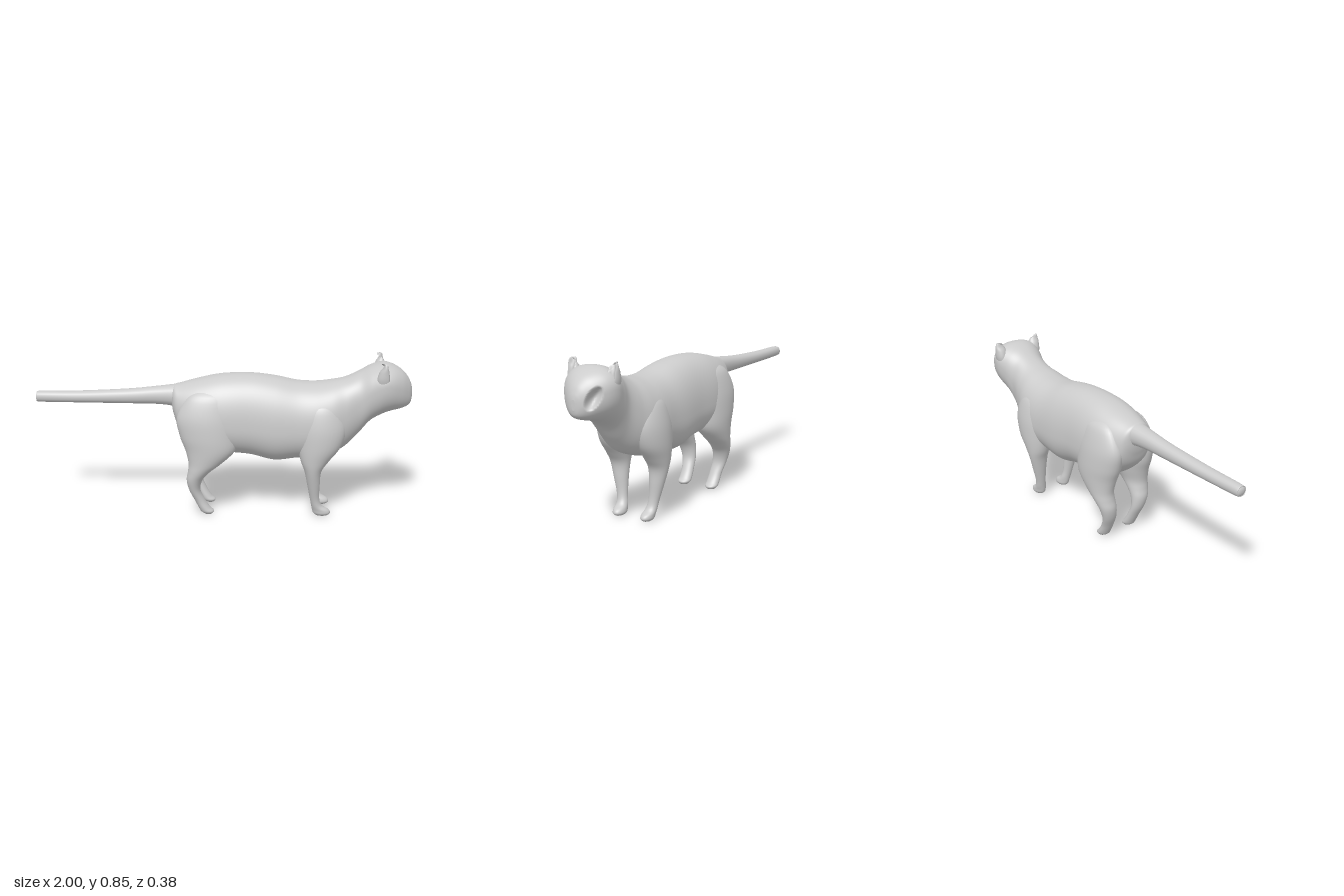
import * as THREE from 'three';

const material = new THREE.MeshStandardMaterial({ color: 0xcccccc, side: THREE.DoubleSide });

// Smooth the rows of a section list with Catmull-Rom interpolation
function refine(rows, steps) {
  const out = [];
  const at = (i) => rows[Math.min(Math.max(i, 0), rows.length - 1)];
  for (let i = 0; i < rows.length - 1; i++) {
    const [a, b, c, d] = [at(i - 1), at(i), at(i + 1), at(i + 2)];
    for (let s = 0; s < steps; s++) {
      const t = s / steps;
      out.push(b.map((v, k) => v + 0.5 * t * (c[k] - a[k]
        + t * (2 * a[k] - 5 * v + 4 * c[k] - d[k] + t * (3 * (v - c[k]) + d[k] - a[k])))));
    }
  }
  out.push(rows[rows.length - 1]);
  return out;
}

// Skin closed rings, one per section; point(row, angle) gives [x, y, z]
function loft(name, rows, point, segments = 32, steps = 5, warp = null) {
  const rings = refine(rows, steps).map((row) => {
    const ring = [];
    for (let j = 0; j < segments; j++) {
      const v = new THREE.Vector3(...point(row, (j / segments) * Math.PI * 2));
      if (warp) warp(v);
      ring.push(v);
    }
    return ring;
  });
  const vertices = rings.flat();
  const middle = (ring) => ring.reduce((s, v) => s.add(v), new THREE.Vector3()).divideScalar(segments);
  const start = vertices.push(middle(rings[0])) - 1;
  const end = vertices.push(middle(rings[rings.length - 1])) - 1;
  const last = (rings.length - 1) * segments;
  let index = [];
  for (let j = 0; j < segments; j++) {
    const k = (j + 1) % segments;
    for (let o = 0; o < last; o += segments) {
      index.push(o + j, o + k, o + segments + j, o + k, o + segments + k, o + segments + j);
    }
    index.push(start, k, j, end, last + j, last + k);
  }
  // Turn the faces outward if the enclosed volume comes out negative
  let volume = 0;
  const cross = new THREE.Vector3();
  for (let i = 0; i < index.length; i += 3) {
    volume += vertices[index[i]].dot(cross.crossVectors(vertices[index[i + 1]], vertices[index[i + 2]]));
  }
  if (volume < 0) index.reverse();
  const geometry = new THREE.BufferGeometry().setFromPoints(vertices);
  geometry.setIndex(index);
  geometry.computeVertexNormals();
  const mesh = new THREE.Mesh(geometry, material);
  mesh.name = name;
  return mesh;
}

const soft = (v, e) => Math.sign(v) * Math.abs(v) ** e;

// Section across the spine: [x, bottom, top, half width, height fraction of widest point]
function spinePoint([x, y0, y1, w, m], a) {
  const mid = y0 + (y1 - y0) * m;
  const s = soft(Math.sin(a), 0.9);
  return [x, mid + s * (s > 0 ? y1 - mid : mid - y0), w * soft(Math.cos(a), 0.88)];
}

// Section across a leg: [y, back, front, inner z, outer z]
const legPoint = (side) => ([y, x0, x1, z0, z1], a) => [
  (x0 + x1) / 2 + ((x1 - x0) / 2) * Math.cos(a), y,
  side * ((z0 + z1) / 2 + ((z1 - z0) / 2) * Math.sin(a)),
];

// Eye socket pressed into one side of the face
function pressEye(v) {
  if (v.x < 0.85 || v.z > 0) return;
  const dy = (v.y - 0.695) / 0.055;
  const dz = (v.z + 0.08 + (v.y - 0.695) * 0.3) / 0.026;
  const d = dy * dy + dz * dz;
  if (d < 1) {
    v.x -= 0.045 * (1 - d);
    v.z += 0.02 * (1 - d);
  }
}

const BODY = [
  [-0.268, 0.59, 0.67, 0.035, 0.5],
  [-0.255, 0.53, 0.695, 0.075, 0.5],
  [-0.22, 0.45, 0.705, 0.11, 0.45],
  [-0.12, 0.37, 0.732, 0.155, 0.42],
  [0, 0.34, 0.756, 0.172, 0.4],
  [0.15, 0.325, 0.762, 0.17, 0.4],
  [0.28, 0.295, 0.748, 0.174, 0.42],
  [0.4, 0.308, 0.724, 0.172, 0.43],
  [0.5, 0.315, 0.72, 0.174, 0.45],
  [0.58, 0.335, 0.73, 0.162, 0.48],
  [0.65, 0.37, 0.746, 0.138, 0.52],
  [0.72, 0.44, 0.78, 0.12, 0.55],
  [0.78, 0.515, 0.812, 0.13, 0.58],
  [0.84, 0.555, 0.828, 0.143, 0.62],
  [0.89, 0.574, 0.82, 0.132, 0.6],
  [0.94, 0.585, 0.793, 0.098, 0.55],
  [0.975, 0.598, 0.755, 0.06, 0.5],
  [0.993, 0.615, 0.718, 0.032, 0.5],
  [1.0, 0.64, 0.69, 0.01, 0.5],
];

const TAIL = [
  [-1, 0.617, 0.63, 0.008, 0.5],
  [-0.993, 0.6, 0.644, 0.024, 0.5],
  [-0.97, 0.593, 0.651, 0.03, 0.5],
  [-0.75, 0.592, 0.655, 0.036, 0.5],
  [-0.5, 0.591, 0.669, 0.041, 0.5],
  [-0.35, 0.59, 0.685, 0.048, 0.5],
  [-0.25, 0.578, 0.697, 0.06, 0.5],
  [-0.18, 0.54, 0.705, 0.075, 0.5],
];

const HIND_LEG = [
  [0.69, -0.11, 0.01, 0.08, 0.11],
  [0.65, -0.18, 0.05, 0.06, 0.15],
  [0.55, -0.235, 0.085, 0.03, 0.18],
  [0.45, -0.222, 0.09, 0.02, 0.19],
  [0.37, -0.192, 0.075, 0.03, 0.189],
  [0.3, -0.175, 0.005, 0.052, 0.181],
  [0.25, -0.178, -0.058, 0.058, 0.172],
  [0.2, -0.186, -0.1, 0.06, 0.158],
  [0.14, -0.174, -0.113, 0.058, 0.14],
  [0.08, -0.146, -0.09, 0.055, 0.126],
  [0.035, -0.124, -0.062, 0.052, 0.124],
  [0.014, -0.112, -0.041, 0.053, 0.122],
  [0, -0.092, -0.048, 0.065, 0.11],
];

const FRONT_LEG = [
  [0.65, 0.48, 0.56, 0.09, 0.125],
  [0.6, 0.43, 0.62, 0.05, 0.163],
  [0.5, 0.4, 0.655, 0.02, 0.187],
  [0.4, 0.405, 0.63, 0.03, 0.19],
  [0.32, 0.42, 0.57, 0.05, 0.181],
  [0.26, 0.442, 0.532, 0.062, 0.17],
  [0.18, 0.459, 0.526, 0.068, 0.149],
  [0.1, 0.475, 0.526, 0.068, 0.127],
  [0.055, 0.484, 0.541, 0.06, 0.12],
  [0.03, 0.489, 0.578, 0.054, 0.118],
  [0.012, 0.495, 0.587, 0.053, 0.116],
  [0, 0.508, 0.575, 0.062, 0.107],
];

const EAR = [
  [0.71, 0.81, 0.87, 0.1, 0.13],
  [0.76, 0.802, 0.876, 0.085, 0.143],
  [0.8, 0.812, 0.87, 0.082, 0.145],
  [0.825, 0.828, 0.86, 0.094, 0.144],
  [0.843, 0.836, 0.854, 0.11, 0.139],
  [0.851, 0.841, 0.849, 0.12, 0.132],
];

export function createModel() {
  const group = new THREE.Group();
  group.name = 'cat';
  group.add(loft('bodyAndHead', BODY, spinePoint, 72, 8, pressEye));
  group.add(loft('tail', TAIL, spinePoint, 20));

  // Paired limbs and ears
  for (const [side, label] of [[1, 'PositiveZ'], [-1, 'NegativeZ']]) {
    group.add(loft('hindLeg' + label, HIND_LEG, legPoint(side)));
    group.add(loft('frontLeg' + label, FRONT_LEG, legPoint(side)));
    // Hollow the front face of the ear
    const cup = (v) => {
      if (v.x > 0.84) v.x -= 0.02 * Math.max(0, 1 - ((Math.abs(v.z) - 0.117) / 0.018) ** 2);
    };
    group.add(loft('ear' + label, EAR, legPoint(side), 24, 5, cup));
  }
  return group;
}
